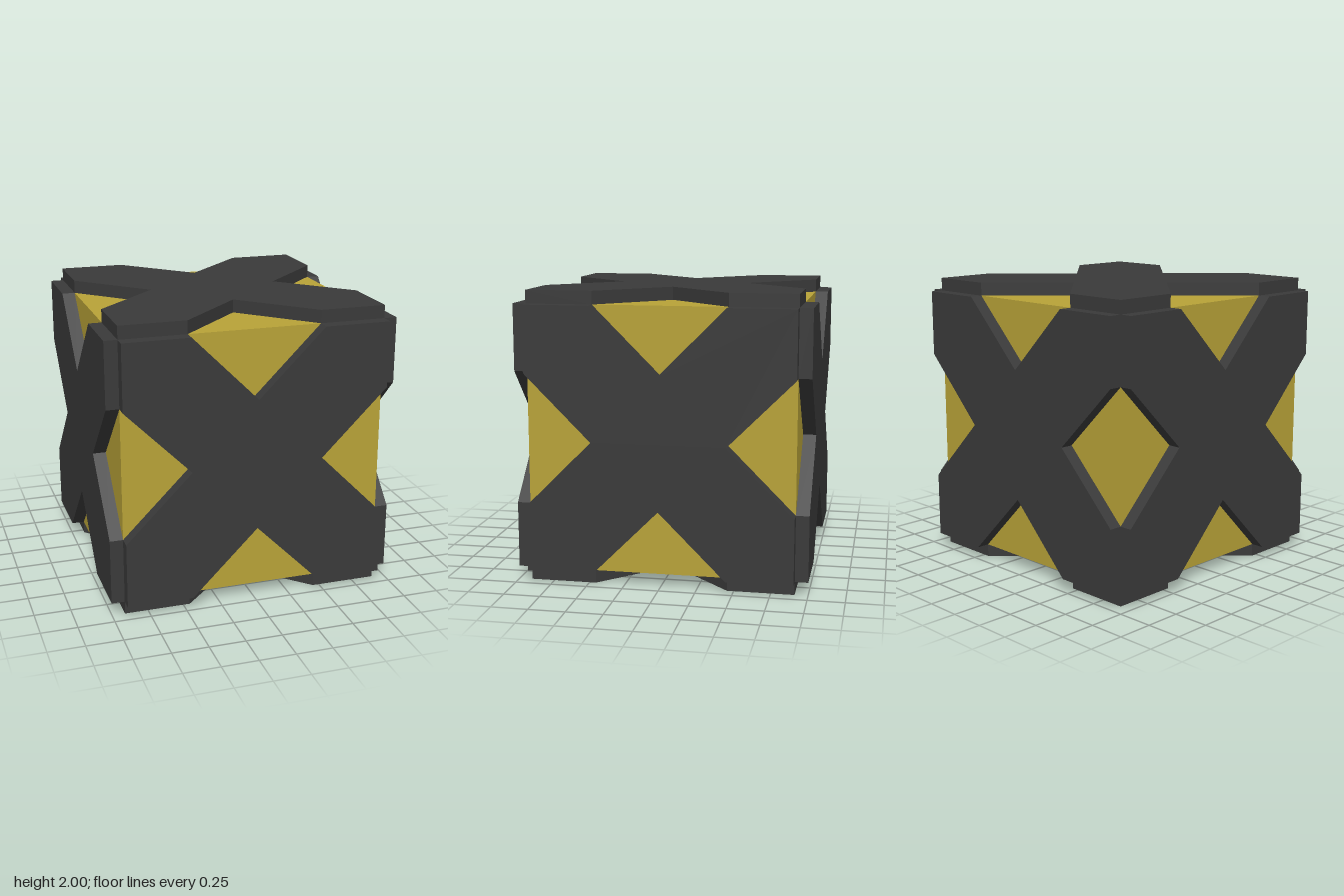
import * as THREE from 'three';

const HALF = 0.91;   // half width of the inner cube
const DEPTH = 0.09;  // plate thickness
const NOTCH = 0.455; // half width and depth of each triangular notch

// Square plate with a triangular notch in the middle of every side
function plateShape() {
  const points = [];
  for (let i = 0; i < 4; i++) {
    const side = [[-HALF, -HALF], [-NOTCH, -HALF], [0, NOTCH - HALF], [NOTCH, -HALF]];
    for (const [x, y] of side) {
      points.push(new THREE.Vector2(x, y).rotateAround(new THREE.Vector2(), i * Math.PI / 2));
    }
  }
  return new THREE.Shape(points);
}

export function createModel() {
  const model = new THREE.Group();
  model.name = 'armouredCube';
  const gold = new THREE.MeshStandardMaterial({ color: 0xb8a338, flatShading: true });
  const dark = new THREE.MeshStandardMaterial({ color: 0x3a3a3a, flatShading: true });

  // Inner cube, seen through the notches
  const core = new THREE.Mesh(new THREE.BoxGeometry(2 * HALF, 2 * HALF, 2 * HALF), gold);
  core.name = 'core';
  core.position.y = 1;
  model.add(core);

  // One cross-shaped plate on each of the six faces
  const geometry = new THREE.ExtrudeGeometry(plateShape(), { depth: DEPTH, bevelEnabled: false });
  geometry.translate(0, 0, HALF);
  const q = Math.PI / 2;
  const faces = {
    front: [0, 0], left: [0, q], back: [0, 2 * q], right: [0, -q], top: [-q, 0], bottom: [q, 0],
  };
  for (const [name, [rx, ry]] of Object.entries(faces)) {
    const plate = new THREE.Mesh(geometry, dark);
    plate.name = name + 'Plate';
    plate.rotation.set(rx, ry, 0);
    plate.position.y = 1;
    model.add(plate);
  }
  return model;
}
